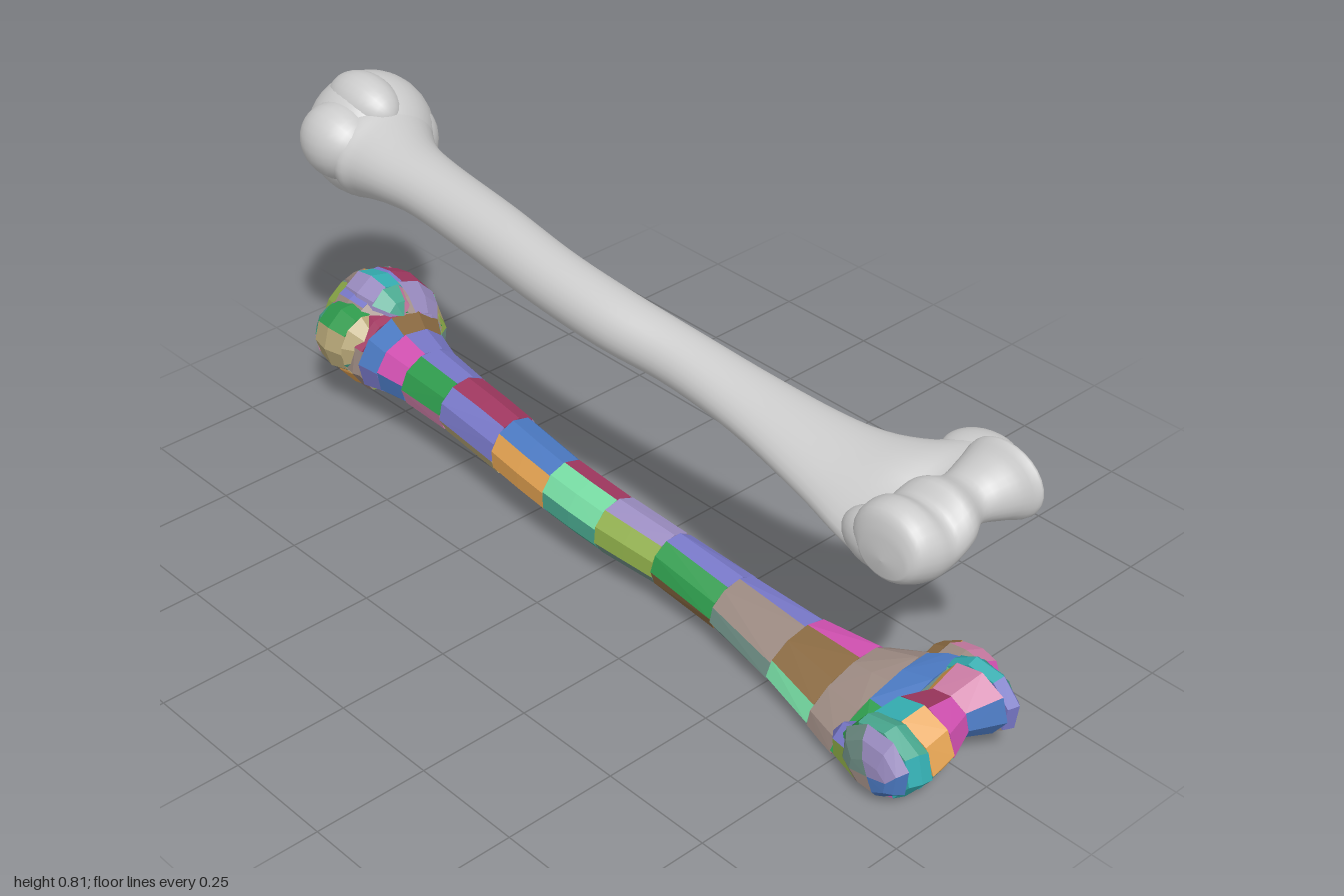
import * as THREE from 'three';
import { ConvexGeometry } from 'three/addons/geometries/ConvexGeometry.js';

const TAU = Math.PI * 2;
const grey = new THREE.MeshStandardMaterial({ color: 0xcccccc });
const palette = [0x49a88f, 0x6f8f86, 0x8fae4a, 0xcf7fa8, 0x7878c8, 0x2e9a4c, 0x8a6a42, 0xe0a050,
  0x35b0b4, 0x9a8cc0, 0xa03860, 0xb8a878, 0x4a78c0, 0x74d8a0, 0xd050b0, 0x9a8880]
  .map((color) => new THREE.MeshStandardMaterial({ color }));

function seeded(seed) {
  return () => (seed = (seed * 16807) % 2147483647) / 2147483647;
}

// Surface through oval sections: rows are [t, a0, a1, b0, b1, tilt].
// Along z: a = x, b = y. Along x: a = y, b = z.
function loft(axis, rows, shape = (p) => p) {
  const spline = new THREE.CubicInterpolant(rows.map((_, i) => i), rows.flat(), 6, new Float32Array(6));
  return (u, v) => {
    const [t, a0, a1, b0, b1, tilt] = spline.evaluate(u * (rows.length - 1));
    const size = u <= 0 || u >= 1 ? 0 : 1; // closed ends
    const da = ((a1 - a0) / 2) * Math.cos(v * TAU) * size;
    const a = (a0 + a1) / 2 + da;
    const b = (b0 + b1) / 2 + ((b1 - b0) / 2) * Math.sin(v * TAU) * size + tilt * da;
    return shape(axis === 'z' ? new THREE.Vector3(a, b, t) : new THREE.Vector3(t, a, b));
  };
}

function ellipsoid(x, y, z, rx, ry, rz) {
  return (u, v) => {
    const s = Math.sin(u * Math.PI);
    return new THREE.Vector3(x + rx * s * Math.cos(v * TAU), y + ry * s * Math.sin(v * TAU),
      z - rz * Math.cos(u * Math.PI));
  };
}

// Hollow above the joint
function fossa(p) {
  const d = ((p.x + 0.02) / 0.05) ** 2 + ((p.z - 0.82) / 0.05) ** 2;
  if (p.y > 0.57) p.y -= 0.035 * Math.exp(-d);
  return p;
}

const shaft = loft('z', [
  [-0.86, -0.09, 0.12, 0.58, 0.76, 0],
  [-0.79, -0.125, 0.145, 0.555, 0.765, 0],
  [-0.74, -0.12, 0.11, 0.57, 0.75, 0],
  [-0.66, -0.115, 0.065, 0.592, 0.737, 0],
  [-0.55, -0.11, 0.04, 0.60, 0.73, 0],
  [-0.35, -0.115, 0.025, 0.582, 0.718, 0],
  [-0.15, -0.125, 0.01, 0.568, 0.698, 0],
  [0.03, -0.12, 0.015, 0.552, 0.678, 0],
  [0.2, -0.095, 0.03, 0.538, 0.652, 0.05],
  [0.4, -0.10, 0.05, 0.522, 0.625, 0.1],
  [0.6, -0.13, 0.07, 0.508, 0.608, 0.18],
  [0.72, -0.16, 0.10, 0.515, 0.608, 0.25],
  [0.80, -0.18, 0.15, 0.525, 0.618, 0.25],
  [0.86, -0.185, 0.14, 0.53, 0.625, 0.22],
  [0.90, -0.16, 0.09, 0.56, 0.62, 0.2],
], fossa);

// Rounded roller of the elbow joint, from the outer to the inner side
const condyles = loft('x', [
  [-0.2, 0.53, 0.59, 0.83, 0.92, 0],
  [-0.182, 0.51, 0.648, 0.79, 0.95, 0],
  [-0.14, 0.496, 0.66, 0.78, 0.965, 0],
  [-0.1, 0.505, 0.643, 0.785, 0.965, 0],
  [-0.06, 0.535, 0.667, 0.80, 0.97, 0],
  [0, 0.55, 0.645, 0.82, 0.94, 0],
  [0.05, 0.548, 0.672, 0.82, 0.97, 0],
  [0.08, 0.548, 0.70, 0.82, 1.0, 0],
  [0.1, 0.56, 0.68, 0.82, 0.975, 0],
  [0.113, 0.59, 0.64, 0.86, 0.93, 0],
]);

// name, surface, smooth grid (along, around), chunk grid (along, around)
const parts = [
  ['shaft', shaft, [64, 28], [16, 5]],
  ['head', ellipsoid(0.03, 0.662, -0.86, 0.14, 0.14, 0.14), [20, 32], [5, 7]],
  ['greaterTubercle', ellipsoid(-0.066, 0.685, -0.845, 0.08, 0.085, 0.095), [16, 24], [3, 5]],
  ['lesserTubercle', ellipsoid(0.01, 0.745, -0.85, 0.065, 0.07, 0.10), [16, 24], [3, 4]],
  ['neckRim', ellipsoid(0.095, 0.65, -0.795, 0.06, 0.085, 0.05), [14, 20], [2, 4]],
  ['condyles', condyles, [40, 28], [7, 4]],
  ['innerEpicondyle', ellipsoid(0.135, 0.598, 0.81, 0.066, 0.037, 0.08), [16, 24], [3, 3]],
  ['outerEpicondyle', ellipsoid(-0.145, 0.555, 0.83, 0.05, 0.058, 0.09), [16, 24], [2, 3]],
];

function smoothMesh(surface, [nu, nv]) {
  const pos = [], index = [];
  for (let i = 0; i <= nu; i++) {
    for (let j = 0; j < nv; j++) {
      pos.push(...surface(i / nu, j / nv).toArray());
      if (i === nu) continue;
      const a = i * nv + j, b = i * nv + ((j + 1) % nv);
      index.push(a, b, a + nv, b, b + nv, a + nv);
    }
  }
  const geo = new THREE.BufferGeometry();
  geo.setAttribute('position', new THREE.Float32BufferAttribute(pos, 3));
  geo.setIndex(index);
  geo.computeVertexNormals();
  return new THREE.Mesh(geo, grey);
}

// Convex wedges that together fill the same surface
function chunkGroup(surface, [nu, nv], random) {
  const group = new THREE.Group();
  for (let i = 0; i < nu; i++) {
    const turn = random();
    for (let j = 0; j < nv; j++) {
      const points = [];
      for (let k = 0; k <= 2; k++) {
        const u = (i + k / 2) / nu;
        points.push(surface(u, 0).add(surface(u, 0.5)).multiplyScalar(0.5));
        if (u <= 0 || u >= 1) continue; // pole is already a point
        for (let m = 0; m <= 2; m++) points.push(surface(u, turn + (j + m / 2) / nv));
      }
      // ring just inside a closed end keeps the end wedges full
      if (i === 0 || i === nu - 1) {
        const u = i === 0 ? 0.04 / nu : 1 - 0.04 / nu;
        for (let m = 0; m <= 2; m++) points.push(surface(u, turn + (j + m / 2) / nv));
      }
      const mesh = new THREE.Mesh(new ConvexGeometry(points), palette[Math.floor(random() * palette.length)]);
      mesh.name = 'convexPiece';
      group.add(mesh);
    }
  }
  return group;
}

export function createModel() {
  const model = new THREE.Group();
  model.name = 'bonePair';
  const smoothBone = new THREE.Group();
  smoothBone.name = 'smoothBone';
  const piecedBone = new THREE.Group();
  piecedBone.name = 'piecedBone';
  const random = seeded(4711);
  for (const [name, surface, grid, cells] of parts) {
    const mesh = smoothMesh(surface, grid);
    mesh.name = name;
    smoothBone.add(mesh);
    const chunks = chunkGroup(surface, cells, random);
    chunks.name = name + 'Pieces';
    piecedBone.add(chunks);
  }
  piecedBone.position.y = -0.495;
  model.add(smoothBone, piecedBone);
  return model;
}
